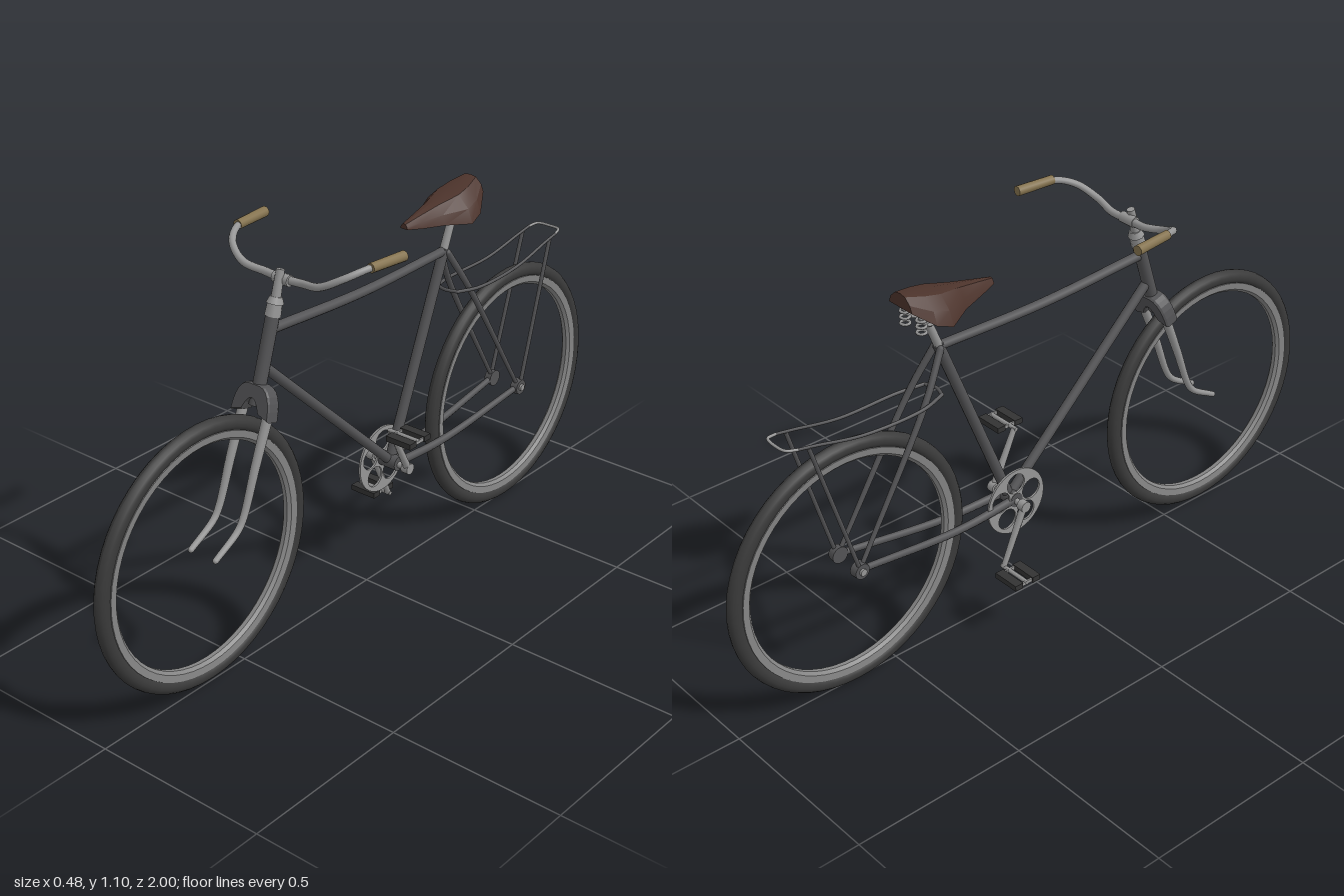
import * as THREE from 'three';
import { toCreasedNormals } from 'three/addons/utils/BufferGeometryUtils.js';

const mat = (name, color, side = THREE.FrontSide) => {
  const m = new THREE.MeshStandardMaterial({ color, side });
  m.name = name;
  return m;
};

export function createModel() {
  const bike = new THREE.Group();
  bike.name = 'bicycle';
  const frame = mat('dark frame grey', 0x535355);
  const steel = mat('bare steel', 0x969696);
  const rimGrey = mat('rim grey', 0x858585);
  const rubber = mat('tyre rubber', 0x3a3a3a);
  const black = mat('pedal black', 0x333333);
  const leather = mat('saddle leather', 0x4c332b, THREE.DoubleSide);
  const gripTan = mat('grip tan', 0x85734f);
  const V = (x, y, z) => new THREE.Vector3(x, y, z);
  const UP = V(0, 1, 0);

  const add = (name, geo, material, pos) => {
    const m = new THREE.Mesh(geo, material);
    m.name = name;
    if (pos) m.position.copy(pos);
    bike.add(m);
    return m;
  };
  // Straight tapered rod from a to b
  const rod = (name, a, b, ra, rb, material, sides = 12) => {
    const d = b.clone().sub(a);
    const m = add(name, new THREE.CylinderGeometry(rb, ra, d.length(), sides), material,
      a.clone().add(b).multiplyScalar(0.5));
    m.quaternion.setFromUnitVectors(UP, d.normalize());
    return m;
  };
  // Bent tube through points, tapering from ra to rb, with rounded ends
  const pipe = (name, pts, ra, rb, material, closed = false) => {
    const curve = new THREE.CatmullRomCurve3(pts, closed, 'centripetal');
    const n = pts.length * 8, sides = 10;
    const geo = new THREE.TubeGeometry(curve, n, ra, sides, closed);
    const p = geo.attributes.position, v = V(0, 0, 0);
    for (let i = 0; i <= n; i++) {
      const c = curve.getPointAt(i / n), s = 1 + (rb / ra - 1) * i / n;
      for (let j = 0; j <= sides; j++) {
        const k = i * (sides + 1) + j;
        v.fromBufferAttribute(p, k).sub(c).multiplyScalar(s).add(c);
        p.setXYZ(k, v.x, v.y, v.z);
      }
    }
    add(name, geo, material);
    if (!closed) {
      add(name + 'Start', new THREE.SphereGeometry(ra, 10, 6), material, pts[0]);
      add(name + 'End', new THREE.SphereGeometry(rb, 10, 6), material, pts[pts.length - 1]);
    }
  };

  // Wheels: lathed tyre and rim, axle along x
  const tyreSection = [], rimSection = [[0.304, 0.006], [0.304, -0.006], [0.312, -0.014],
    [0.331, -0.016], [0.331, 0.016], [0.312, 0.014], [0.304, 0.006]].map(p => new THREE.Vector2(...p));
  for (let i = 0; i <= 14; i++) {
    const a = i / 14 * Math.PI * 2;
    tyreSection.push(new THREE.Vector2(0.346 + 0.021 * Math.cos(a), 0.019 * Math.sin(a)));
  }
  const tyreGeo = new THREE.LatheGeometry(tyreSection, 56).rotateZ(Math.PI / 2);
  const rimGeo = toCreasedNormals(new THREE.LatheGeometry(rimSection, 56).rotateZ(Math.PI / 2), 0.5);
  for (const [name, y, z] of [['front', 0.381, 0.633], ['rear', 0.369, -0.632]]) {
    add(name + 'Tyre', tyreGeo, rubber, V(0, y, z));
    add(name + 'Rim', rimGeo, rimGrey, V(0, y, z));
  }

  // Main frame tubes
  const bb = V(0, 0.34, -0.1), seatTop = V(0, 0.893, -0.326);
  rod('headTube', V(0, 0.72, 0.43), V(0, 0.94, 0.36), 0.018, 0.018, frame, 16);
  pipe('topTube', [V(0, 0.905, 0.372), V(0, 0.884, 0.02), V(0, 0.888, -0.326)], 0.014, 0.013, frame);
  rod('downTube', V(0, 0.815, 0.398), bb, 0.014, 0.014, frame);
  rod('seatTube', bb, seatTop, 0.015, 0.015, frame);
  rod('bottomBracket', V(-0.032, 0.34, -0.1), V(0.032, 0.34, -0.1), 0.021, 0.021, frame, 16);
  rod('seatPost', seatTop, V(0, 1.0, -0.37), 0.012, 0.011, steel);
  rod('seatClamp', V(-0.02, 0.975, -0.362), V(0.02, 0.975, -0.362), 0.012, 0.012, steel);

  // Fork crown, an arched block
  const crown = new THREE.Shape();
  crown.moveTo(-0.06, -0.04);
  crown.quadraticCurveTo(-0.055, 0.035, -0.018, 0.038);
  crown.lineTo(0.018, 0.038);
  crown.quadraticCurveTo(0.055, 0.035, 0.06, -0.04);
  crown.lineTo(0.028, -0.03);
  crown.quadraticCurveTo(0, 0.04, -0.028, -0.03);
  const crownGeo = new THREE.ExtrudeGeometry(crown,
    { depth: 0.03, bevelEnabled: true, bevelSize: 0.003, bevelThickness: 0.006, bevelSegments: 1, curveSegments: 6 });
  crownGeo.translate(0, 0, -0.015);
  add('forkCrown', crownGeo, frame, V(0, 0.735, 0.425)).rotation.x = -0.32;

  // Headset, stem and handlebar clamp
  rod('headsetNut', V(0, 0.937, 0.361), V(0, 0.968, 0.351), 0.021, 0.019, steel, 8);
  rod('headsetCap', V(0, 0.968, 0.351), V(0, 0.985, 0.346), 0.023, 0.016, steel, 8);
  rod('stem', V(0, 0.98, 0.348), V(0, 1.052, 0.328), 0.013, 0.011, steel);
  rod('barClamp', V(-0.025, 1.024, 0.322), V(0.025, 1.024, 0.322), 0.015, 0.015, steel);

  // Parts on both sides
  for (const s of [-1, 1]) {
    pipe('forkLeg', [V(s * 0.042, 0.72, 0.425), V(s * 0.042, 0.58, 0.483), V(s * 0.042, 0.46, 0.53),
      V(s * 0.042, 0.43, 0.552), V(s * 0.042, 0.382, 0.635)], 0.014, 0.008, steel);
    pipe('handlebar', [V(0, 1.024, 0.322), V(s * 0.06, 1.026, 0.318), V(s * 0.125, 1.038, 0.328),
      V(s * 0.18, 1.066, 0.305), V(s * 0.21, 1.083, 0.26), V(s * 0.222, 1.086, 0.2)], 0.011, 0.009, steel);
    rod('grip', V(s * 0.217, 1.086, 0.247), V(s * 0.228, 1.084, 0.132), 0.013, 0.014, gripTan);
    pipe('chainStay', [V(s * 0.022, 0.338, -0.1), V(s * 0.033, 0.336, -0.3),
      V(s * 0.046, 0.376, -0.632)], 0.012, 0.009, frame);
    pipe('seatStay', [V(s * 0.012, 0.885, -0.328), V(s * 0.034, 0.77, -0.395),
      V(s * 0.046, 0.376, -0.632)], 0.01, 0.006, frame);
    rod('axleNut', V(s * 0.036, 0.376, -0.632), V(s * 0.058, 0.376, -0.632), 0.024, 0.022, frame, 14);
    rod('axleEnd', V(s * 0.057, 0.376, -0.632), V(s * 0.064, 0.376, -0.632), 0.011, 0.01, steel, 8);
    rod('rackStrut', V(s * 0.052, 0.38, -0.635), V(s * 0.047, 0.795, -0.76), 0.006, 0.006, frame, 8);

    // Cranks and pedals, the left one up and the right one down
    const end = s > 0 ? V(0.069, 0.487, -0.02) : V(-0.069, 0.179, -0.178);
    rod('crankArm', V(s * 0.062, 0.337, -0.1), end, 0.011, 0.008, steel, 8);
    rod('crankBoss', V(s * 0.05, 0.337, -0.1), V(s * 0.072, 0.337, -0.1), 0.016, 0.016, steel);
    rod('pedalAxle', V(s * 0.06, end.y, end.z), V(s * 0.165, end.y, end.z), 0.006, 0.006, steel, 8);
    for (const k of [-1, 1]) {
      add('pedalBlock', new THREE.BoxGeometry(0.082, 0.016, 0.026), black,
        V(s * 0.126, end.y, end.z + k * 0.03));
      add('pedalPlate', new THREE.BoxGeometry(0.005, 0.01, 0.07), steel,
        V(s * (0.126 + k * 0.036), end.y, end.z));
    }
    // Saddle rails and springs
    pipe('saddleRail', [V(s * 0.008, 1.005, -0.2), V(s * 0.02, 0.985, -0.3),
      V(s * 0.03, 0.98, -0.38), V(s * 0.035, 1.03, -0.415)], 0.005, 0.005, steel);
    for (let i = 0; i < 3; i++) {
      const coil = new THREE.TorusGeometry(0.012, 0.004, 6, 12).rotateX(Math.PI / 2);
      add('saddleSpring', coil, steel, V(s * 0.032, 0.968 + i * 0.017, -0.4));
    }
  }
  rod('crankAxle', V(-0.06, 0.337, -0.1), V(0.06, 0.337, -0.1), 0.009, 0.009, steel);

  // Chainring with five round windows
  const ring = new THREE.Shape().absarc(0, 0, 0.097, 0, Math.PI * 2);
  for (let i = 0; i < 5; i++) {
    const a = i / 5 * Math.PI * 2 + 0.3;
    ring.holes.push(new THREE.Path().absarc(0.055 * Math.cos(a), 0.055 * Math.sin(a), 0.03, 0, Math.PI * 2, true));
  }
  const ringGeo = new THREE.ExtrudeGeometry(ring, { depth: 0.006, bevelEnabled: false, curveSegments: 20 });
  add('chainring', ringGeo.rotateY(Math.PI / 2), steel, V(-0.031, 0.337, -0.1));

  // Luggage rack: side wires, front loop and pale rear loop
  for (const s of [-1, 1]) {
    pipe('rackSide', [V(s * 0.035, 0.77, -0.345), V(s * 0.053, 0.764, -0.42), V(s * 0.051, 0.766, -0.6),
      V(s * 0.047, 0.793, -0.74), V(s * 0.046, 0.802, -0.79)], 0.005, 0.004, frame);
  }
  pipe('rackFront', [V(-0.035, 0.77, -0.345), V(0, 0.771, -0.335), V(0.035, 0.77, -0.345)], 0.005, 0.005, frame);
  pipe('rackRear', [V(-0.046, 0.802, -0.79), V(-0.036, 0.806, -0.818), V(0, 0.806, -0.824),
    V(0.036, 0.806, -0.818), V(0.046, 0.802, -0.79)], 0.004, 0.004, steel);

  // Saddle: arched sections [z, top, bottom, half width], faceted shell
  const sections = [[-0.152, 1.02, 1.005, 0.012], [-0.2, 1.03, 0.997, 0.025], [-0.27, 1.044, 0.99, 0.046],
    [-0.34, 1.059, 0.982, 0.083], [-0.385, 1.067, 0.997, 0.076], [-0.437, 1.075, 1.036, 0.045]];
  const arch = [[-1, 0], [-0.82, 0.5], [-0.42, 0.92], [0, 1], [0.42, 0.92], [0.82, 0.5], [1, 0]];
  const pos = [], idx = [], n = arch.length;
  sections.forEach(([z, top, bot, w], i) => {
    for (const [ax, ay] of arch) pos.push(ax * w, bot + (top - bot) * ay, z);
    for (let j = 0; i && j < n - 1; j++) {
      const a = (i - 1) * n + j, b = a + n;
      idx.push(a, a + 1, b, a + 1, b + 1, b);
    }
  });
  const last = (sections.length - 1) * n;
  for (let j = 1; j < n - 1; j++) idx.push(0, j + 1, j, last, last + j, last + j + 1);
  const saddle = new THREE.BufferGeometry();
  saddle.setAttribute('position', new THREE.Float32BufferAttribute(pos, 3));
  saddle.setIndex(idx);
  add('saddle', toCreasedNormals(saddle, 0.45), leather);

  return bike;
}
